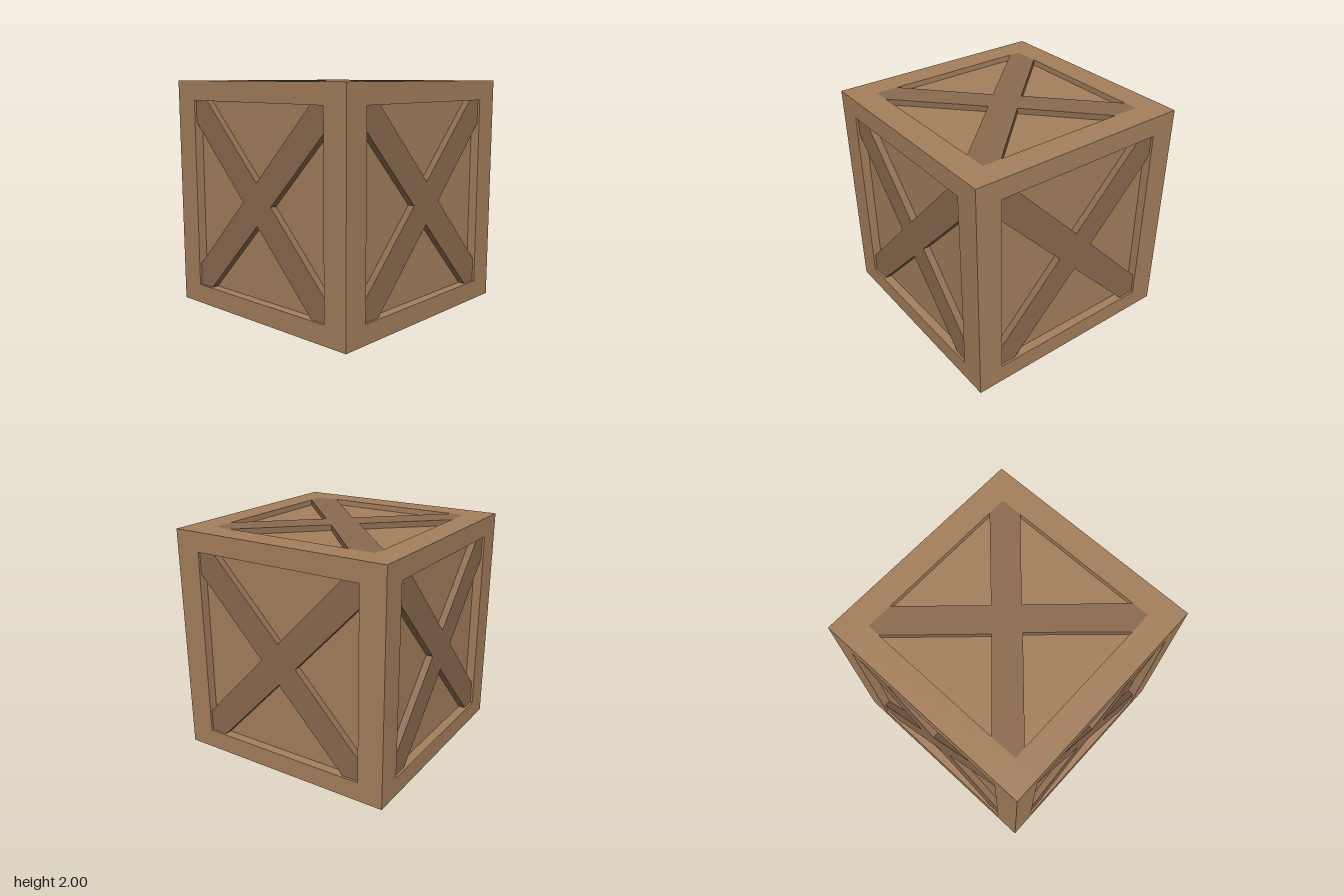
import * as THREE from 'three';

const frameMat = new THREE.MeshStandardMaterial({ color: 0xa57f5c, flatShading: true });
const braceMat = new THREE.MeshStandardMaterial({ color: 0x8b6b4f, flatShading: true });

const IN = 0.775;   // half width of every opening
const RAIL = 0.17;  // rail height
const POST = 1 - IN;

function box(name, w, h, d, x, y, z) {
  const mesh = new THREE.Mesh(new THREE.BoxGeometry(w, h, d), frameMat);
  mesh.name = name;
  mesh.position.set(x, y, z);
  return mesh;
}

// X-shaped brace cut to fit its opening; points run counter-clockwise
function brace(name, points, depth) {
  const shape = new THREE.Shape(points.map(([x, y]) => new THREE.Vector2(x, y)));
  const geo = new THREE.ExtrudeGeometry(shape, { depth, bevelEnabled: false });
  const mesh = new THREE.Mesh(geo, braceMat);
  mesh.name = name;
  return mesh;
}

// side brace outline, its crossing shifted sideways by s
function sideOutline(s) {
  const h = 1 - RAIL;
  const right = 0.64 - s, left = 0.64 + s;
  return [
    [-IN, -h], [s - 0.62, -h], [s, -0.18], [s + 0.62, -h], [IN, -h], [IN, -right],
    [s + 0.17, 0], [IN, right], [IN, h], [s + 0.62, h], [s, 0.18], [s - 0.62, h],
    [-IN, h], [-IN, left], [s - 0.17, 0], [-IN, -left],
  ];
}

export function createModel() {
  const crate = new THREE.Group();
  crate.name = 'crate';

  // recessed panels on all six sides
  crate.add(box('panels', 1.84, 1.9, 1.84, 0, 1, 0));

  // corner posts and the rails between them
  const mid = 1 - POST / 2;
  for (const a of [-1, 1]) {
    for (const b of [-1, 1]) {
      crate.add(box('cornerPost', POST, 2, POST, a * mid, 1, b * mid));
      const y = 1 + a * (1 - RAIL / 2);
      crate.add(box('railAlongX', 2 * IN, RAIL, POST, 0, y, b * mid));
      crate.add(box('railAlongZ', POST, RAIL, 2 * IN, b * mid, y, 0));
    }
  }

  // braces on the four sides, set slightly behind the frame
  ['front', 'left', 'back', 'right'].forEach((side, i) => {
    const pivot = new THREE.Group();
    pivot.name = side + 'Brace';
    const x = brace(side + 'Cross', sideOutline(i % 2 ? 0 : 0.02), 0.08);
    x.position.set(0, 1, 0.9);
    pivot.add(x);
    pivot.rotation.y = i * Math.PI / 2;
    crate.add(pivot);
  });

  // top brace, flush with the frame
  const top = brace('topBrace', [
    [-IN, -IN], [-0.62, -IN], [0.015, -0.17], [0.58, -IN], [IN, -IN], [IN, -0.61],
    [0.19, 0], [IN, 0.54], [IN, IN], [0.66, IN], [0.02, 0.175], [-0.54, IN],
    [-IN, IN], [-IN, 0.67], [-0.15, 0], [-IN, -0.58],
  ], 0.07);
  top.rotation.x = -Math.PI / 2;
  top.position.y = 1.93;
  crate.add(top);

  return crate;
}
